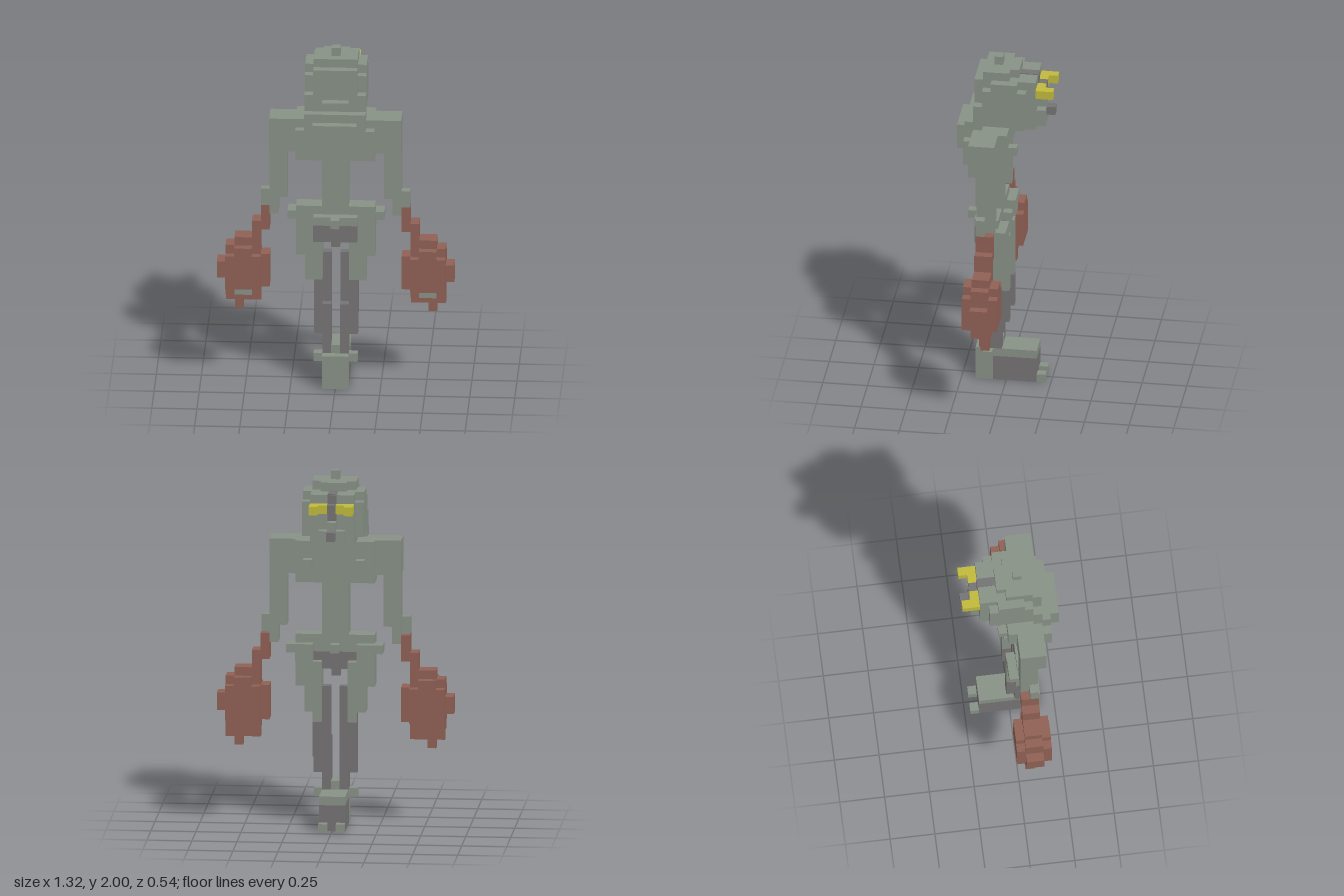
import * as THREE from 'three';

const U = 2 / 41; // one cube

export function createModel() {
  const model = new THREE.Group();
  const mat = (name, color) => {
    const m = new THREE.MeshStandardMaterial({ color });
    m.name = name;
    return m;
  };
  const green = mat('grey green', 0x889186);
  const grey = mat('dark grey', 0x757373);
  const red = mat('rust red', 0x906055);
  const yellow = mat('yellow', 0xc0ba3c);

  // box from ranges in cubes: x0..x1, y0..y1, z0..z1
  const box = (name, m, x0, x1, y0, y1, z0, z1) => {
    const mesh = new THREE.Mesh(new THREE.BoxGeometry((x1 - x0) * U, (y1 - y0) * U, (z1 - z0) * U), m);
    mesh.position.set((x0 + x1) / 2 * U, (y0 + y1) / 2 * U, (z0 + z1) / 2 * U);
    mesh.name = name;
    model.add(mesh);
  };
  const mid = (name, m, x, ...r) => box(name, m, -x, x, ...r);
  const pair = (name, m, x0, x1, ...r) => {
    box(name + 'Left', m, x0, x1, ...r);
    box(name + 'Right', m, -x1, -x0, ...r);
  };

  // foot block
  mid('footFront', green, 1.5, 0, 3, 1.5, 3.5);
  mid('footSole', grey, 1.5, 0, 3, -3.5, 1.5);
  mid('footTop', green, 1.5, 3, 4, -3.5, 3.5);
  pair('toe', green, 0.5, 1.5, 0, 1, -4.5, -3.5);
  pair('ankleKnob', green, 1.5, 2.5, 3, 4, 1.5, 2.5);
  mid('ankle', green, 0.5, 4, 5, 0.5, 2.5);

  // legs
  pair('shin', grey, 0.5, 1.5, 4, 10, 1.5, 2.5);
  pair('leg', grey, 0.5, 1.5, 4, 16, 0.5, 1.5);
  pair('outerLeg', grey, 1.5, 2.5, 6, 13, 0.5, 1.5);
  pair('calf', grey, 1.5, 2.5, 8, 12, -0.5, 0.5);
  pair('backThigh', green, 1.5, 2.5, 12, 19, -0.5, 0.5);
  pair('innerThigh', green, 1.5, 2.5, 13, 18, 0.5, 2.5);
  pair('thigh', green, 2.5, 3.5, 13, 18, 0.5, 2.5);
  pair('outerThigh', green, 3.5, 4.5, 16, 19, 0.5, 2.5);

  // pelvis and belt
  mid('crotch', grey, 2.5, 18, 20, 0.5, 3.5);
  mid('crotchKnob', grey, 0.5, 17, 18, 1.5, 2.5);
  pair('hip', green, 2.5, 4.5, 18, 22, 0.5, 2.5);
  mid('pelvis', green, 2.5, 20, 21, 0.5, 3.5);
  mid('pelvisTop', green, 2.5, 21, 22, 0.5, 2.5);
  pair('beltKnob', green, 4.5, 5.5, 20, 21, -0.5, 1.5);
  pair('backHip', green, 2.5, 4.5, 19, 21, -0.5, 0.5);
  mid('buckle', green, 0.5, 20, 21, 3.5, 4.5);
  mid('backBuckle', green, 0.5, 20, 21, -0.5, 0.5);

  // waist, chest and collar
  mid('waist', green, 1.5, 22, 28, 0.5, 3.5);
  mid('chest', green, 4.5, 28, 33, 0.5, 3.5);
  mid('shoulders', green, 7.5, 29, 33, 0.5, 3.5);
  mid('chestFront', green, 4.5, 29, 32, 3.5, 4.5);
  mid('collarFront', green, 3.5, 31, 34, 2.5, 4.5);
  mid('breastPlate', green, 2.5, 30, 33, 4.5, 5.5);
  mid('upperBack', green, 4.5, 30, 33, -0.5, 0.5);
  pair('backKnob', green, 2.5, 3.5, 30, 31, -1.5, -0.5);
  mid('neck', green, 2.5, 33, 34, -0.5, 3.5);

  // arms
  pair('upperArm', green, 5.5, 7.5, 24, 29, 0.5, 2.5);
  pair('forearm', green, 5.5, 7.5, 23, 24, 0.5, 2.5);
  pair('wrist', green, 6.5, 7.5, 21, 23, 0.5, 2.5);
  pair('elbowKnob', green, 7.5, 8.5, 22, 24, 1.5, 2.5);
  pair('handleTop', red, 7.5, 8.5, 19, 22, 0.5, 2.5);
  pair('handle', red, 8.5, 9.5, 17, 20, 0.5, 2.5);

  // heavy stepped fists
  pair('fistCap', red, 8.5, 11.5, 17, 18, 0.5, 2.5);
  pair('fistTop', red, 8.5, 12.5, 16, 17, 0.5, 2.5);
  pair('fist', red, 8.5, 12.5, 12, 16, -0.5, 3.5);
  pair('fistUpper', red, 9.5, 11.5, 16, 17, -0.5, 3.5);
  pair('fistInner', red, 7.5, 8.5, 12, 16, 0.5, 2.5);
  pair('fistOuter', red, 12.5, 13.5, 13, 15, 0.5, 2.5);
  pair('fistLower', red, 8.5, 12.5, 11, 12, 0.5, 2.5);
  pair('fistBase', red, 8.5, 12.5, 10, 11, 0.5, 1.5);
  pair('fistTip', red, 10.5, 11.5, 9, 10, 0.5, 1.5);
  pair('fistPatch', green, 9.5, 11.5, 11, 12, 2.5, 2.6);

  // head
  mid('head', green, 3.5, 34, 38, -2.5, 2.5);
  mid('headLong', green, 2.5, 33, 39, -3.5, 2.5);
  mid('headUpper', green, 3.5, 38, 39, -1.5, 1.5);
  pair('cheek', green, 1.5, 3.5, 34, 36, 2.5, 3.5);
  mid('brow', green, 2.5, 36, 39, 2.5, 3.5);
  mid('chin', green, 1.5, 34, 35, 2.5, 3.5);
  mid('crown', green, 2.5, 39, 40, -0.5, 2.5);
  mid('crownBack', green, 1.5, 39, 40, -1.5, -0.5);
  mid('topKnob', green, 0.5, 40, 41, 0.5, 1.5);
  mid('stripe', grey, 0.5, 39, 39.1, -3.5, -1.5);
  mid('stripeBack', grey, 0.5, 36, 39, -3.6, -3.5);

  // muzzle and yellow pronged visor
  mid('muzzle', green, 1.5, 33, 35, -4.5, -3.5);
  mid('muzzleTop', green, 0.5, 35, 36, -4.5, -3.5);
  mid('muzzleTip', grey, 0.5, 34, 35, -5.5, -4.5);
  mid('visorMiddle', grey, 0.5, 37, 38, -4.5, -3.5);
  pair('visor', yellow, 0.5, 2.5, 37, 38, -4.5, -3.5);
  pair('visorProng', yellow, 1.5, 2.5, 37, 38, -5.5, -4.5);

  return model;
}
